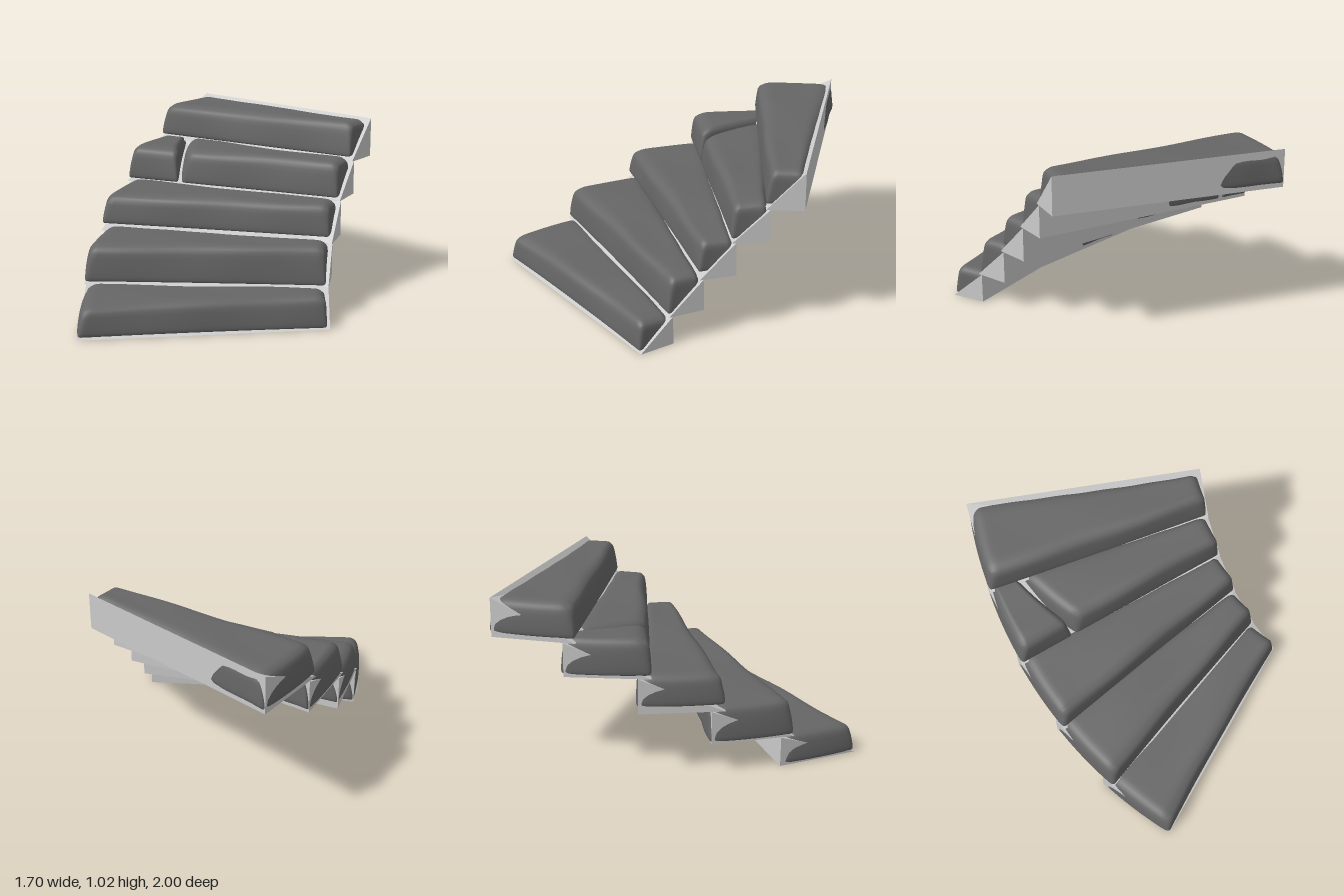
import * as THREE from 'three';
import { mergeVertices } from 'three/addons/utils/BufferGeometryUtils.js';

const STEPS = 5;
const CX = 1.761, CZ = 0.782;          // centre of the curve
const R_IN = 1.23, R_OUT = 2.615;      // inner and outer radius
const BASE_Y = [0, 0.18, 0.38, 0.59, 0.79, 1.02];
const STONE_Y = [[0.008, 0.187], [0.19, 0.41], [0.42, 0.607], [0.607, 0.817], [0.815, 1.017]];

const lerp = THREE.MathUtils.lerp;
const clamp = THREE.MathUtils.clamp;
const rad = THREE.MathUtils.degToRad;

// front and back angle of a step; t = 0 at the outer end, 1 at the inner end
const frontAngle = (i, t) => rad(lerp(-4.7 + 9.25 * i, -3 + 8.7 * i, t));
const backAngle = (i, t) => rad(lerp(6.4 + 9.15 * i, 6.8 + 8.75 * i, t));
const polar = (r, a, y) => [CX - r * Math.cos(a), y, CZ - r * Math.sin(a)];

// wedge with a triangular section: low at the front, full height at the back
function wedgeGeometry(i) {
  const y0 = BASE_Y[i], y1 = BASE_Y[i + 1];
  const end = (r, t) => [
    ...polar(r, frontAngle(i, t), y0),
    ...polar(r, backAngle(i, t), y0),
    ...polar(r, backAngle(i, t), y1),
  ];
  const g = new THREE.BufferGeometry();
  g.setAttribute('position', new THREE.Float32BufferAttribute([...end(R_IN, 1), ...end(R_OUT, 0)], 3));
  g.setIndex([0, 1, 2, 3, 5, 4, 0, 3, 4, 0, 4, 1, 1, 4, 5, 1, 5, 2, 0, 2, 5, 0, 5, 3]);
  const flat = g.toNonIndexed();
  flat.computeVertexNormals();
  return flat;
}

// worn block: a rounded box bent around the curve.
// outer and inner are [front, back] radii of its two ends
function stoneGeometry(i, outer, inner) {
  const [y0, y1] = STONE_Y[i];
  const half = [(outer[0] - inner[0]) / 2, (y1 - y0) / 2, 0.15];
  let g = new THREE.BoxGeometry(2, 2, 2, 36, 12, 16);
  g.deleteAttribute('uv');
  g.deleteAttribute('normal');
  g = mergeVertices(g);
  const pos = g.attributes.position;
  const p = new THREE.Vector3(), q = new THREE.Vector3();
  for (let k = 0; k < pos.count; k++) {
    // crowd the vertices towards the edges, then round them
    p.fromBufferAttribute(pos, k);
    p.set(...p.toArray().map((s, n) => Math.sin(s * Math.PI / 2) * half[n]));
    const up = (p.y / half[1] + 1) / 2;
    const round = lerp(0.018, 0.055, up);
    q.set(...p.toArray().map((s, n) => clamp(s, round - half[n], half[n] - round)));
    p.sub(q).setLength(round).add(q);

    // position within the block, 0 to 1 each way
    const u = (p.x / half[0] + 1) / 2;
    const v = (1 - p.z / half[2]) / 2;
    const h = (p.y / half[1] + 1) / 2;

    // sides lean in towards the top
    const rOut = lerp(outer[0], outer[1], v) - 0.03 * h * h;
    const rIn = lerp(inner[0], inner[1], v) + 0.008 * h;
    const r = lerp(rOut, rIn, u);
    const t = clamp((R_OUT - r) / (R_OUT - R_IN), 0, 1);

    // chipped front and a back that swells near the outer end
    const chip = 0.006 * (1 + Math.sin(r * 9 + i * 2.1)) * h;
    const front = frontAngle(i, t) + (0.018 * h * h + chip) / r;
    const swell = i === 0 ? -0.006 : 0.006 * Math.cos(Math.PI * t) + 0.001 * Math.sin(r * 23 + i);
    const back = backAngle(i, t) + swell - 0.012 * h * h / r;

    // gentle wear on the tread
    const wear = h * h * (0.004 * Math.sin(r * 7 + i * 1.7) * Math.cos(v * 4 + i) - 0.003);
    pos.setXYZ(k, ...polar(r, lerp(front, back, v), lerp(y0, y1, h) + wear));
  }
  g.computeVertexNormals();
  return g;
}

export function createModel() {
  const model = new THREE.Group();
  model.name = 'curvedStairs';
  const baseMaterial = new THREE.MeshStandardMaterial({ color: 0xcccccc });
  const stoneMaterial = new THREE.MeshStandardMaterial({ color: 0x666666 });

  const add = (parent, name, geometry, material) => {
    const mesh = new THREE.Mesh(geometry, material);
    mesh.name = name;
    parent.add(mesh);
  };

  const outerEnd = [R_OUT, R_OUT], innerEnd = [R_IN + 0.014, R_IN + 0.014];
  for (let i = 0; i < STEPS; i++) {
    const step = new THREE.Group();
    step.name = `step${i + 1}`;
    add(step, 'stepBase', wedgeGeometry(i), baseMaterial);
    if (i === 3) {
      // the fourth step is cracked into two stones
      add(step, 'crackedStoneOuter', stoneGeometry(i, outerEnd, [2.265, 2.45]), stoneMaterial);
      add(step, 'crackedStoneInner', stoneGeometry(i, [2.245, 2.435], innerEnd), stoneMaterial);
    } else {
      add(step, 'stepStone', stoneGeometry(i, outerEnd, innerEnd), stoneMaterial);
    }
    model.add(step);
  }
  return model;
}
